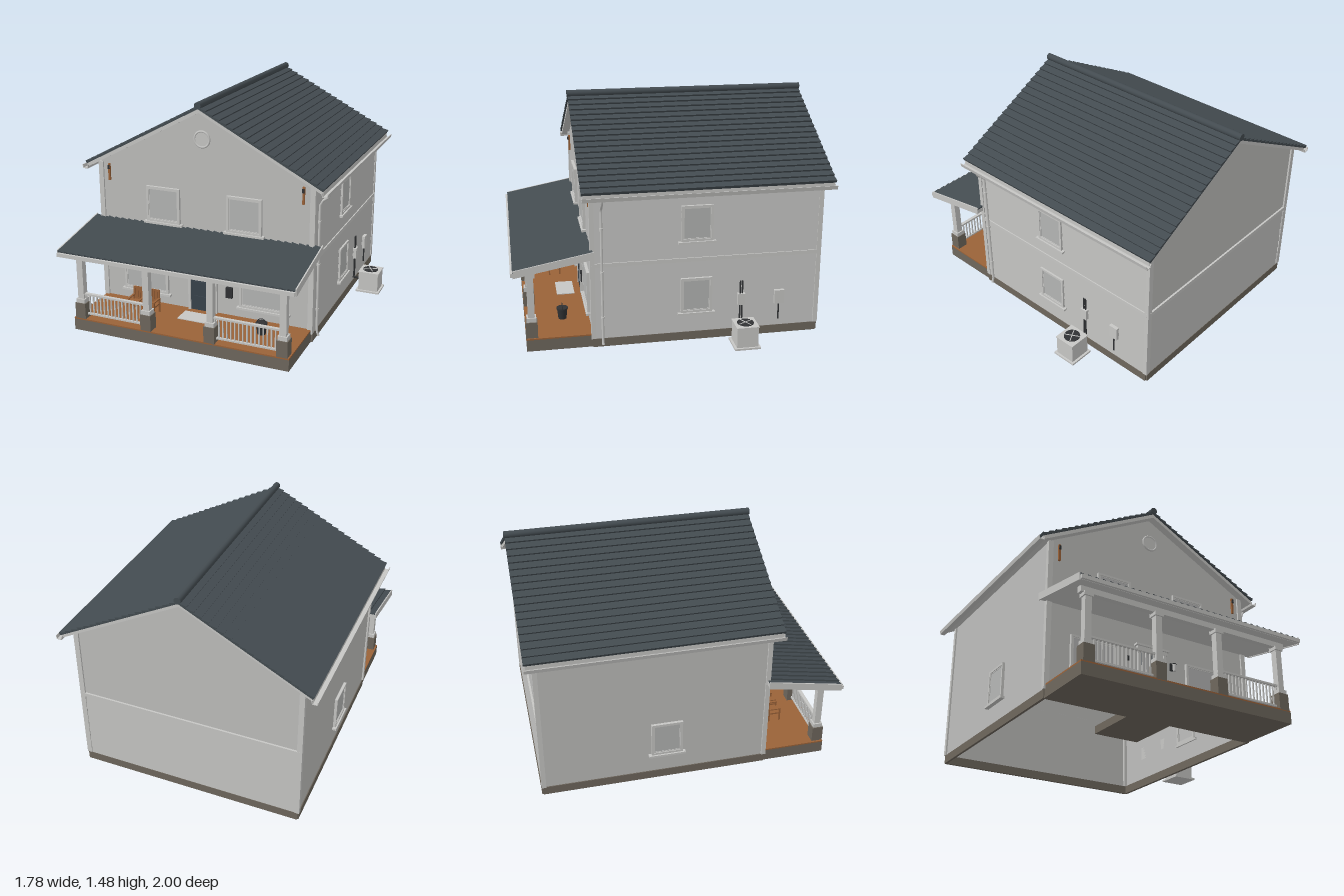
import * as THREE from 'three';

const V = (x, y, z) => new THREE.Vector3(x, y, z);
const mat = (name, color, side = THREE.FrontSide) => {
  const m = new THREE.MeshStandardMaterial({ color, side });
  m.name = name;
  return m;
};

export function createModel() {
  const wallMat = mat('wall grey', 0xbdbdbb, THREE.DoubleSide);
  const trim = mat('trim light grey', 0xc6c6c4);
  const glass = mat('window glass', 0xb4b5b4);
  const slate = mat('slate roof', 0x434b50);
  const stone = mat('stone base', 0x6e675d);
  const wood = mat('wood', 0x9a6238);
  const doorMat = mat('door blue grey', 0x38424b);
  const dark = mat('dark metal', 0x303234);

  const house = new THREE.Group();
  house.name = 'house';
  const add = (name, geo, material, parent = house) => {
    const m = new THREE.Mesh(geo, material);
    m.name = name;
    parent.add(m);
    return m;
  };
  const group = (name, parent = house) => {
    const g = new THREE.Group();
    g.name = name;
    parent.add(g);
    return g;
  };
  // Box from its minimum and maximum corner
  const box = (name, material, x0, x1, y0, y1, z0, z1, parent) => {
    const m = add(name, new THREE.BoxGeometry(x1 - x0, y1 - y0, z1 - z0), material, parent);
    m.position.set((x0 + x1) / 2, (y0 + y1) / 2, (z0 + z1) / 2);
    return m;
  };
  const cyl = (name, material, r0, r1, h, x, y, z, parent, n = 16) => {
    const m = add(name, new THREE.CylinderGeometry(r0, r1, h, n), material, parent);
    m.position.set(x, y, z);
    return m;
  };
  const tube = (name, material, pts, r, parent) =>
    add(name, new THREE.TubeGeometry(new THREE.CatmullRomCurve3(pts, false, 'catmullrom', 0.1), 24, r, 8), material, parent);
  const extrude = (pts, depth, hole) => {
    const s = new THREE.Shape(pts.map(p => new THREE.Vector2(...p)));
    if (hole) s.holes.push(new THREE.Path(hole.map(p => new THREE.Vector2(...p))));
    return new THREE.ExtrudeGeometry(s, { depth, bevelEnabled: false });
  };
  // Overlapping courses: a sawtooth strip laid along xAxis, with its teeth rising along yAxis
  const courses = (name, material, len, n, base, step, depth, origin, xAxis, yAxis) => {
    const pts = [[len, 0], [0, 0]].reverse();
    for (let i = n; i > 0; i--) pts.push([len * i / n, base + step], [len * (i - 1) / n, base]);
    const m = add(name, extrude(pts, depth), material);
    m.applyMatrix4(new THREE.Matrix4().makeBasis(xAxis, yAxis, xAxis.clone().cross(yAxis)).setPosition(origin));
    return m;
  };

  // Main walls, open underneath
  const CX = -0.06, HALF = 0.73, L = CX - HALF, R = CX + HALF, F = 0.51, B = -0.93;
  const EAVE = 1.03, PEAK = 1.415;
  const gable = new THREE.ShapeGeometry(new THREE.Shape(
    [[L, 0], [R, 0], [R, EAVE], [CX, PEAK], [L, EAVE]].map(p => new THREE.Vector2(...p))));
  add('frontWall', gable, wallMat).position.z = F;
  const back = add('backWall', gable, wallMat);
  back.rotation.y = Math.PI;
  back.position.set(2 * CX, 0, B);
  for (const s of [-1, 1]) {
    const side = add(s > 0 ? 'rightSideWall' : 'leftSideWall', new THREE.PlaneGeometry(F - B, EAVE), wallMat);
    side.rotation.y = s * Math.PI / 2;
    side.position.set(CX + s * HALF, EAVE / 2, (F + B) / 2);
  }
  // Clapboard siding
  courses('sideSiding', wallMat, 0.96, 18, 0.001, 0.007, F - B, V(R, 1.01, B), V(0, -1, 0), V(1, 0, 0));
  courses('backSiding', wallMat, 0.48, 9, 0.001, 0.007, 2 * HALF, V(L, 0.53, B), V(0, -1, 0), V(0, 0, -1));

  // Foundation band, belt boards and corner boards
  for (const [x0, x1, z0, z1] of [[L - 0.006, L + 0.01, B, F], [R - 0.01, R + 0.01, B, F], [L, R, B - 0.01, B + 0.01]])
    box('foundation', stone, x0, x1, 0, 0.055, z0, z1);
  box('sideBelt', trim, R, R + 0.012, 0.53, 0.555, B, F);
  box('backBelt', trim, L, R, 0.53, 0.555, B - 0.012, B);
  for (const x of [L, R]) for (const z of [B, F]) {
    const sx = Math.sign(x - CX), sz = z > 0 ? 1 : -1;
    const xs = [x + sx * 0.011, x - sx * 0.022].sort((a, b) => a - b);
    const zs = [z + sz * 0.011, z - sz * 0.018].sort((a, b) => a - b);
    box('cornerBoard', trim, xs[0], xs[1], 0.055, 1.02, zs[0], zs[1]);
  }

  // Main roof: pale deck, slate courses, ridge cap, gutters
  const RB = -0.99, RF = 0.57, run = 0.8, rise = 0.425, top = 1.435;
  const len = Math.hypot(run, rise), c = run / len, s = rise / len;
  add('roofDeck', extrude([[CX - run, top - rise], [CX - run, top - rise - 0.025], [CX, top - 0.025],
    [CX + run, top - rise - 0.025], [CX + run, top - rise], [CX, top]], RF - RB - 0.02), trim).position.z = RB + 0.01;
  courses('rightRoofSlates', slate, len, 18, 0.008, 0.012, RF - RB, V(CX, top, RB), V(c, -s, 0), V(s, c, 0));
  courses('leftRoofSlates', slate, len, 18, 0.008, 0.012, RF - RB, V(CX, top, RF), V(-c, -s, 0), V(-s, c, 0));
  cyl('ridgeCap', slate, 0.022, 0.022, RF - RB + 0.01, CX, 1.456, (RF + RB) / 2).rotation.x = Math.PI / 2;
  for (const d of [-1, 1]) {
    const x = CX + d * 0.812;
    const g = add('gutter', extrude([[-0.022, 0.025], [-0.016, 0], [0.016, 0], [0.022, 0.025],
      [0.017, 0.025], [0.012, 0.005], [-0.012, 0.005], [-0.017, 0.025]], RF - RB), trim);
    g.position.set(x, 0.975, RB);
  }
  // Downpipe with clips
  tube('downpipe', trim, [V(0.755, 0.98, 0.45), V(0.75, 0.95, 0.45), V(0.69, 0.905, 0.45), V(0.688, 0.86, 0.45),
    V(0.688, 0.05, 0.45), V(0.7, 0.02, 0.45)], 0.008);
  for (const y of [0.2, 0.5, 0.78]) cyl('pipeClip', trim, 0.011, 0.011, 0.014, 0.688, y, 0.45);

  // Windows, built facing +z
  const windowUnit = (x, y, z, w, h, turn = 0) => {
    const g = group('window');
    const rect = (a, b) => [[-a, -b], [a, -b], [a, b], [-a, b]];
    add('windowFrame', extrude(rect(w / 2, h / 2), 0.028, rect(w / 2 - 0.014, h / 2 - 0.014)), trim, g).position.z = -0.01;
    add('windowSash', extrude(rect(w / 2 - 0.012, h / 2 - 0.012), 0.022, rect(w / 2 - 0.02, h / 2 - 0.02)), trim, g).position.z = -0.009;
    box('windowPane', glass, -w / 2 + 0.015, w / 2 - 0.015, -h / 2 + 0.015, h / 2 - 0.015, 0.001, 0.01, g);
    box('windowSill', trim, -w / 2 - 0.018, w / 2 + 0.018, -h / 2 - 0.014, -h / 2, -0.01, 0.028, g);
    g.position.set(x, y, z);
    g.rotation.y = turn;
  };
  for (const x of [-0.337, 0.222]) windowUnit(x, 0.777, F, 0.235, 0.235);
  for (const x of [-0.475, 0.353]) windowUnit(x, 0.295, F, 0.322, 0.27);
  for (const y of [0.78, 0.305]) windowUnit(R, y, -0.14, 0.2, 0.23, Math.PI / 2);
  windowUnit(L, 0.305, -0.14, 0.2, 0.23, -Math.PI / 2);

  // Round gable vent
  add('ventRing', new THREE.TorusGeometry(0.05, 0.007, 8, 32), trim).position.set(CX, 1.235, F + 0.004);
  cyl('ventFace', trim, 0.048, 0.048, 0.008, CX, 1.235, F + 0.003, house, 32).rotation.x = Math.PI / 2;
  // Wooden eave brackets
  for (const x of [-0.725, 0.605]) {
    box('bracketPost', wood, x - 0.007, x + 0.007, 0.9, 1.01, F - 0.008, F + 0.012);
    box('bracketArm', dark, x - 0.006, x + 0.006, 0.975, 1.0, F, F + 0.02);
  }

  // Front door
  const door = group('frontDoor');
  box('doorLeaf', doorMat, -0.15, 0.02, 0.085, 0.447, F - 0.01, F + 0.012, door);
  for (const x of [-0.167, 0.02]) box('doorJamb', trim, x, x + 0.017, 0.08, 0.46, F - 0.01, F + 0.02, door);
  box('doorHead', trim, -0.175, 0.045, 0.447, 0.468, F - 0.01, F + 0.022, door);
  box('doorCornice', trim, -0.187, 0.055, 0.468, 0.481, F - 0.01, F + 0.032, door);
  for (const x of [-0.13, -0.061]) box('doorPane', glass, x, x + 0.061, 0.305, 0.43, F + 0.01, F + 0.015, door);
  for (const [y0, y1] of [[0.205, 0.285], [0.105, 0.185]])
    box('doorPanel', doorMat, -0.125, -0.005, y0, y1, F + 0.01, F + 0.018, door);
  add('doorKnob', new THREE.SphereGeometry(0.007, 12, 8), dark, door).position.set(0.008, 0.27, F + 0.022);
  box('doorMat', trim, -0.17, 0.04, 0.084, 0.089, 0.57, 0.69);
  box('wallSign', dark, -0.25, -0.222, 0.36, 0.388, F, F + 0.012);
  box('letterBox', dark, 0.1, 0.143, 0.21, 0.28, F, F + 0.022);
  box('lampPlate', dark, 0.074, 0.096, 0.36, 0.41, F, F + 0.008);
  box('lampArm', dark, 0.081, 0.089, 0.395, 0.402, F, F + 0.04);
  cyl('lampBody', trim, 0.013, 0.01, 0.045, 0.085, 0.37, F + 0.037);
  cyl('lampCap', dark, 0.005, 0.016, 0.01, 0.085, 0.397, F + 0.037);

  // Porch floor and the hall slab behind the door
  box('porchBase', stone, L, R, 0, 0.075, F - 0.01, 0.92);
  box('porchDeck', wood, L, R, 0.075, 0.084, F, 0.92);
  box('hallSlab', stone, -0.24, 0.07, 0, 0.05, 0.14, F);

  // Porch columns
  const posts = [-0.742, -0.275, 0.157, 0.625];
  for (const x of posts) {
    const g = group('porchColumn');
    g.position.set(x, 0, 0.884);
    box('pier', stone, -0.036, 0.036, 0.08, 0.188, -0.036, 0.036, g);
    box('pierCap', trim, -0.03, 0.03, 0.188, 0.215, -0.03, 0.03, g);
    box('shaft', trim, -0.021, 0.021, 0.215, 0.5, -0.021, 0.021, g);
    box('capital', trim, -0.03, 0.03, 0.48, 0.505, -0.03, 0.03, g);
  }
  // Railings on both sides of the entrance
  for (const [a, b] of [[posts[0], posts[1]], [posts[2], posts[3]]]) {
    const g = group('railing');
    box('topRail', trim, a + 0.02, b - 0.02, 0.238, 0.25, 0.873, 0.895, g);
    box('bottomRail', trim, a + 0.03, b - 0.03, 0.105, 0.116, 0.876, 0.892, g);
    for (let i = 1; i < 18; i++) {
      const x = a + (b - a) * i / 18;
      box('baluster', trim, x - 0.004, x + 0.004, 0.11, 0.24, 0.88, 0.888, g);
    }
  }

  // Porch roof: beam, sloped deck, slates, side boards and gutter
  const PL = -0.84, PR = 0.725, ang = Math.atan2(0.09, 0.485), pl = 0.49;
  const up = V(0, Math.cos(ang), Math.sin(ang));
  box('porchBeam', trim, L, R, 0.5, 0.54, 0.865, 0.903);
  const slope = (name, x0, x1, low, high) => {
    const m = add(name, extrude([[0.985, 0.545 + low], [0.985, 0.545 + high], [0.5, 0.635 + high], [0.5, 0.635 + low]], x1 - x0), trim);
    m.rotation.y = -Math.PI / 2;
    m.position.x = x1;
  };
  slope('porchRoofDeck', PL, PR, -0.025, 0);
  slope('porchSideBoard', PL - 0.006, PL + 0.002, -0.03, 0.017);
  slope('porchSideBoard', PR - 0.002, PR + 0.006, -0.03, 0.017);
  courses('porchSlates', slate, PR - PL, 33, 0.004, 0.011, pl, V(PR, 0.545, 0.985), V(-1, 0, 0), up);
  box('porchGutter', trim, PL, PR, 0.522, 0.546, 0.97, 1.0);

  // Two porch chairs
  for (const x of [-0.466, -0.362]) {
    const g = group('chair');
    g.position.set(x, 0.084, 0.68);
    box('seat', wood, -0.045, 0.045, 0.055, 0.065, -0.04, 0.045, g);
    for (let i = -2; i <= 2; i++) box('backSlat', wood, i * 0.018 - 0.008, i * 0.018 + 0.008, 0.055, 0.152, -0.045, -0.037, g);
    for (const d of [-0.04, 0.04]) {
      box('armRest', wood, d - 0.007, d + 0.007, 0.09, 0.097, -0.04, 0.045, g);
      for (const z of [-0.036, 0.038]) box('leg', wood, d - 0.005, d + 0.005, 0, 0.092, z - 0.005, z + 0.005, g);
    }
  }
  // Porch bucket
  cyl('bucket', dark, 0.034, 0.026, 0.07, 0.405, 0.119, 0.68);
  cyl('bucketRim', dark, 0.037, 0.037, 0.008, 0.405, 0.155, 0.68);
  add('bucketHandle', new THREE.TorusGeometry(0.03, 0.003, 6, 16, Math.PI), dark).position.set(0.405, 0.155, 0.68);

  // Air conditioner beside the house
  const ac = group('airConditioner');
  box('pad', trim, 0.72, 0.885, 0, 0.012, -0.51, -0.345, ac);
  box('cabinet', trim, 0.735, 0.872, 0.012, 0.14, -0.495, -0.36, ac);
  box('lid', trim, 0.731, 0.876, 0.14, 0.147, -0.499, -0.356, ac);
  cyl('fan', dark, 0.052, 0.052, 0.006, 0.803, 0.148, -0.428, ac, 32);
  for (const a of [0.5, 0.5 + Math.PI / 2]) {
    const bar = add('fanBar', new THREE.BoxGeometry(0.1, 0.004, 0.005), trim, ac);
    bar.position.set(0.803, 0.152, -0.428);
    bar.rotation.y = a;
  }
  tube('coolantPipe', dark, [V(R, 0.07, -0.43), V(0.7, 0.07, -0.43), V(0.74, 0.06, -0.43)], 0.008, ac);

  // Utility boxes and conduits on the side wall
  for (const z of [-0.422, -0.436]) cyl('conduit', dark, 0.005, 0.005, 0.3, R + 0.013, 0.23, z);
  box('switchBox', trim, R, R + 0.028, 0.22, 0.295, -0.452, -0.405);
  box('meterBox', trim, R, R + 0.025, 0.21, 0.3, -0.708, -0.645);
  cyl('meterPipe', dark, 0.005, 0.005, 0.12, R + 0.013, 0.16, -0.676);
  return house;
}
